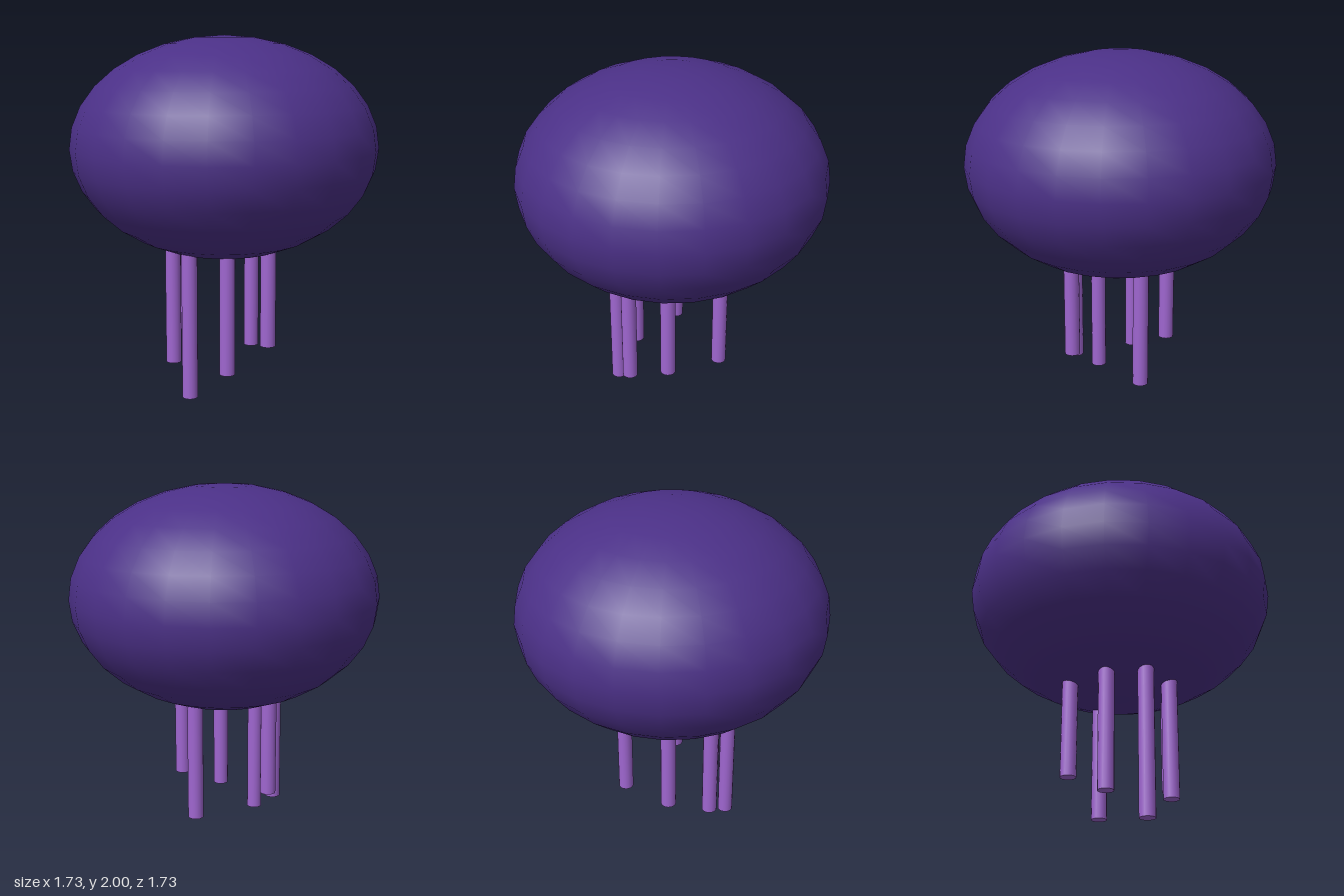
import * as THREE from 'three';

export function createModel() {
  const model = new THREE.Group();
  const indigo = new THREE.MeshStandardMaterial({ name: 'deep indigo', color: 0x4b3087 });
  const violet = new THREE.MeshStandardMaterial({ name: 'light violet', color: 0x9f66d0 });

  // Flattened round body
  const bell = new THREE.Mesh(new THREE.SphereGeometry(1, 24, 16), indigo);
  bell.name = 'bell';
  bell.scale.set(0.864, 0.62, 0.864);
  bell.position.y = 1.38;
  model.add(bell);

  // Hanging tentacles, longest in front: [x, z, bottom y]
  const top = 0.92;
  const tentacles = new THREE.Group();
  tentacles.name = 'tentacles';
  const addTentacle = (x, z, bottom) => {
    const height = top - bottom;
    const tentacle = new THREE.Mesh(new THREE.CylinderGeometry(0.044, 0.044, height, 16), violet);
    tentacle.name = 'tentacle';
    tentacle.position.set(x, bottom + height / 2, z);
    tentacles.add(tentacle);
  };
  addTentacle(0, 0.33, 0);
  addTentacle(0, -0.284, 0.145);
  for (const side of [-1, 1]) {
    addTentacle(side * 0.188, 0.236, 0.145);
    addTentacle(side * 0.302, 0, 0.268);
  }
  model.add(tentacles);
  return model;
}
